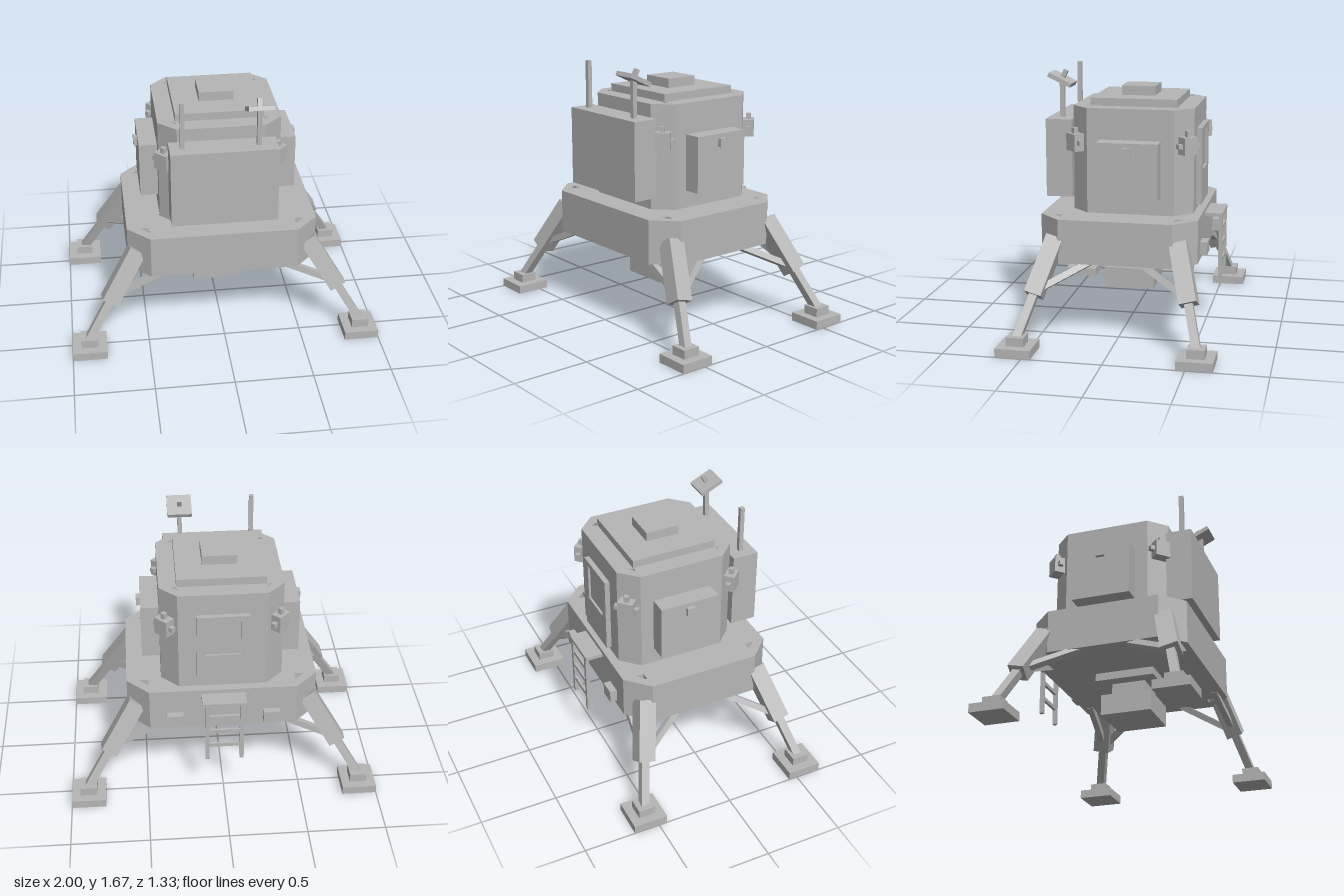
import * as THREE from 'three';

const V = (x, y, z) => new THREE.Vector3(x, y, z);

export function createModel() {
  const model = new THREE.Group();
  model.name = 'lunarLander';
  const grey = new THREE.MeshStandardMaterial({ color: 0xb6b6b6 });
  grey.name = 'hull grey';

  const add = (name, geometry, parent = model) => {
    const mesh = new THREE.Mesh(geometry, grey);
    mesh.name = name;
    parent.add(mesh);
    return mesh;
  };
  // Box given by its min and max on each axis
  const box = (name, x0, x1, y0, y1, z0, z1, parent) => {
    const mesh = add(name, new THREE.BoxGeometry(x1 - x0, y1 - y0, z1 - z0), parent);
    mesh.position.set((x0 + x1) / 2, (y0 + y1) / 2, (z0 + z1) / 2);
    return mesh;
  };
  // Square bar between two points
  const strut = (name, a, b, width, parent) => {
    const dir = b.clone().sub(a);
    const mesh = add(name, new THREE.BoxGeometry(width, dir.length(), width), parent);
    mesh.position.copy(a).add(b).multiplyScalar(0.5);
    mesh.quaternion.setFromUnitVectors(V(0, 1, 0), dir.normalize());
    return mesh;
  };
  // Upright prism with chamfered corners and a triangular shaft inside each corner
  const chamferedPrism = (name, hx, hz, cut, hole, y0, y1, z) => {
    const points = (list) => list.map(([x, y]) => new THREE.Vector2(x, y));
    const ix = hx - cut, iz = hz - cut;
    const shape = new THREE.Shape(points([
      [hx, -iz], [hx, iz], [ix, hz], [-ix, hz], [-hx, iz], [-hx, -iz], [-ix, -hz], [ix, -hz],
    ]));
    for (const sx of [1, -1]) for (const sz of [1, -1]) {
      shape.holes.push(new THREE.Path(points([
        [sx * ix, sz * iz], [sx * (ix + hole), sz * iz], [sx * ix, sz * (iz + hole)],
      ])));
    }
    const geometry = new THREE.ExtrudeGeometry(shape, { depth: y1 - y0, bevelEnabled: false });
    geometry.rotateX(-Math.PI / 2);
    add(name, geometry).position.set(0, y0, z);
  };

  // Lower and upper stages
  const cabinZ = -0.054;
  chamferedPrism('descentStage', 0.61, 0.5, 0.14, 0.06, 0.5, 0.78, 0.003);
  chamferedPrism('cabin', 0.388, 0.388, 0.11, 0.035, 0.78, 1.45, cabinZ);
  box('roofSlab', -0.278, 0.278, 1.45, 1.5, cabinZ - 0.278, cabinZ + 0.278);
  box('roofHatch', -0.11, 0.11, 1.5, 1.56, cabinZ - 0.11, cabinZ + 0.11);
  box('frontEquipmentBox', -0.335, 0.335, 0.865, 1.365, 0.333, 0.503);

  // Descent engine
  box('engineMount', -0.193, 0.193, 0.45, 0.5, -0.193, 0.193);
  box('engineNeck', -0.11, 0.11, 0.36, 0.45, -0.11, 0.11);
  box('engineBell', -0.165, 0.165, 0.225, 0.36, -0.165, 0.165);

  // Side equipment boxes, each with a knob
  for (const s of [1, -1]) {
    const side = new THREE.Group();
    side.name = s > 0 ? 'leftSideBox' : 'rightSideBox';
    model.add(side);
    const body = box('sideBox', 0.388, 0.503, 0.893, 1.253, -0.247, 0.14, side);
    const knob = box('sideKnob', 0.503, 0.528, 1.17, 1.225, -0.08, -0.026, side);
    for (const m of [body, knob]) m.position.x *= s;
  }

  // Rear door with a recessed window
  const door = new THREE.Shape([[-0.165, 0.81], [0.165, 0.81], [0.165, 1.31], [-0.165, 1.31]]
    .map(([x, y]) => new THREE.Vector2(x, y)));
  door.holes.push(new THREE.Path([[-0.11, 1.03], [-0.11, 1.275], [0.11, 1.275], [0.11, 1.03]]
    .map(([x, y]) => new THREE.Vector2(x, y))));
  add('doorFrame', new THREE.ExtrudeGeometry(door, { depth: 0.035, bevelEnabled: false }))
    .position.z = -0.475;
  box('doorWindow', -0.11, 0.11, 1.03, 1.275, -0.46, -0.442);

  // Thruster clusters on the cabin's chamfered corners
  for (const sx of [1, -1]) for (const sz of [1, -1]) {
    const cluster = new THREE.Group();
    cluster.name = 'thrusterCluster';
    cluster.position.set(sx * 0.36, 1.228, cabinZ + sz * 0.36);
    cluster.rotation.y = Math.atan2(sx, sz);
    model.add(cluster);
    box('thrusterBlock', -0.05, 0.05, -0.055, 0.055, -0.035, 0.035, cluster);
    box('upperNozzle', -0.015, 0.015, 0.055, 0.092, -0.015, 0.015, cluster);
    box('sideNozzles', -0.08, 0.08, -0.015, 0.015, -0.015, 0.015, cluster);
  }

  // Rod antenna and tilted dish antenna
  box('rodAntenna', -0.268, -0.24, 1.365, 1.67, 0.405, 0.434);
  box('dishMast', 0.205, 0.234, 1.365, 1.6, 0.405, 0.434);
  const dish = new THREE.Group();
  dish.name = 'dishAntenna';
  dish.position.set(0.22, 1.608, 0.42);
  dish.rotation.x = -0.44;
  model.add(dish);
  box('dishPlate', -0.08, 0.08, -0.014, 0.014, -0.08, 0.08, dish);
  box('dishFeed', -0.014, 0.014, 0.014, 0.062, -0.014, 0.014, dish);

  // Rear porch, ladder and small boxes
  box('porch', -0.14, 0.14, 0.73, 0.752, -0.612, -0.497);
  for (const s of [1, -1]) {
    box('ladderRail', s * 0.11 - 0.013, s * 0.11 + 0.013, 0.31, 0.73, -0.61, -0.585);
    box('rearBox', s * 0.31 - 0.053, s * 0.31 + 0.053, 0.533, 0.615, -0.543, -0.497);
  }
  for (const y of [0.64, 0.53, 0.42]) {
    box('ladderRung', -0.098, 0.098, y - 0.012, y + 0.012, -0.606, -0.588);
  }

  // Landing legs
  for (const sx of [1, -1]) for (const sz of [1, -1]) {
    const leg = new THREE.Group();
    leg.name = 'landingLeg';
    model.add(leg);
    const P = (x, y, z) => V(sx * x, y, sz * z);
    const foot = P(0.89, 0.09, 0.555), top = P(0.55, 0.645, 0.39);
    const knee = foot.clone().lerp(top, 0.425);
    strut('upperStrut', knee, top, 0.11, leg);
    strut('lowerStrut', foot, knee.clone().lerp(top, 0.1), 0.052, leg);
    const joint = P(0.735, 0.35, 0.475);
    strut('frontBrace', joint, P(0.36, 0.515, 0.44), 0.04, leg);
    strut('sideBrace', joint, P(0.56, 0.515, 0.15), 0.04, leg);
    const cx = sx * 0.888, cz = sz * 0.555;
    box('footPad', cx - 0.111, cx + 0.111, 0, 0.055, cz - 0.111, cz + 0.111, leg);
    box('footBlock', cx - 0.055, cx + 0.055, 0.055, 0.111, cz - 0.055, cz + 0.055, leg);
  }

  return model;
}
